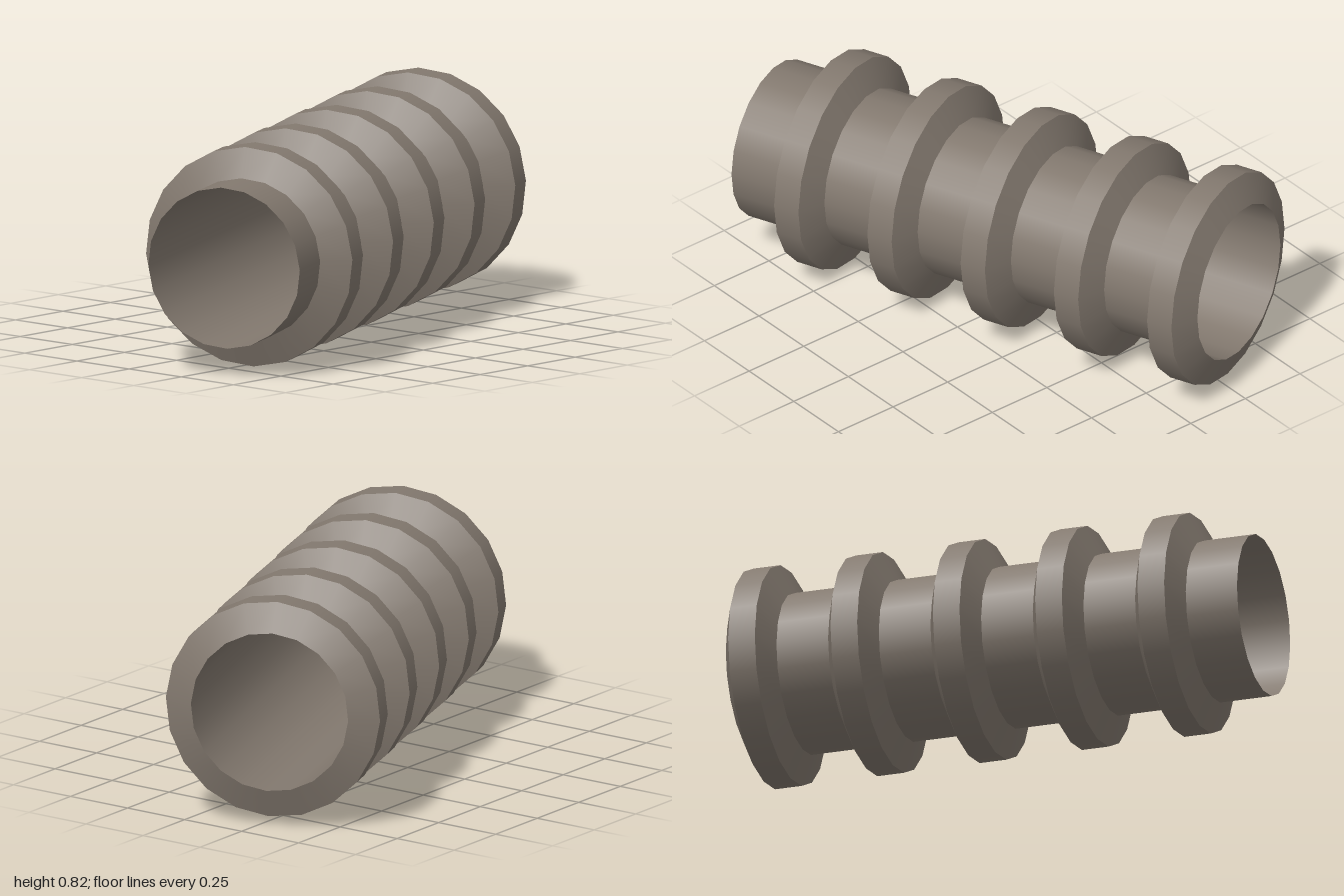
import * as THREE from 'three';

const SIDES = 20;
const TUBE_R = 0.29, RIB_R = 0.395;   // pipe wall and rib crest radii
const CREST = 0.05, FOOT = 0.095;     // half widths of a rib at crest and foot
const SPACING = 0.3836;

export function createModel() {
  const taupe = new THREE.MeshStandardMaterial({ color: 0x83796f, side: THREE.DoubleSide });
  taupe.name = 'taupe';

  // Open band around the z axis from z0 (radius r0) to z1 (radius r1)
  const band = (name, z0, r0, z1, r1) => {
    const geo = new THREE.CylinderGeometry(r1, r0, z1 - z0, SIDES, 1, true);
    geo.rotateX(Math.PI / 2);
    geo.translate(0, 0, (z0 + z1) / 2);
    const mesh = new THREE.Mesh(geo, taupe);
    mesh.name = name;
    return mesh;
  };

  const pipe = new THREE.Group();
  pipe.name = 'ribbedPipe';

  // Thin open tube: flush with the last rib at the back, plain spigot at the front
  pipe.add(band('tube', -2 * SPACING - FOOT, TUBE_R, 2 * SPACING + 0.287, TUBE_R));

  // Five bevelled ribs
  for (let i = -2; i <= 2; i++) {
    const rib = new THREE.Group();
    rib.name = 'rib' + (i + 3);
    rib.add(
      band('backBevel', -FOOT, TUBE_R, -CREST, RIB_R),
      band('crest', -CREST, RIB_R, CREST, RIB_R),
      band('frontBevel', CREST, RIB_R, FOOT, TUBE_R)
    );
    rib.position.z = i * SPACING;
    pipe.add(rib);
  }

  // Lying pose: turned to the side, tipped slightly nose-down, rolled a little
  pipe.rotation.set(0.018, 0.3527, 0.035, 'YXZ');
  pipe.position.set(-0.003, 0.411, -0.0925);

  const model = new THREE.Group();
  model.name = 'model';
  model.add(pipe);
  return model;
}
